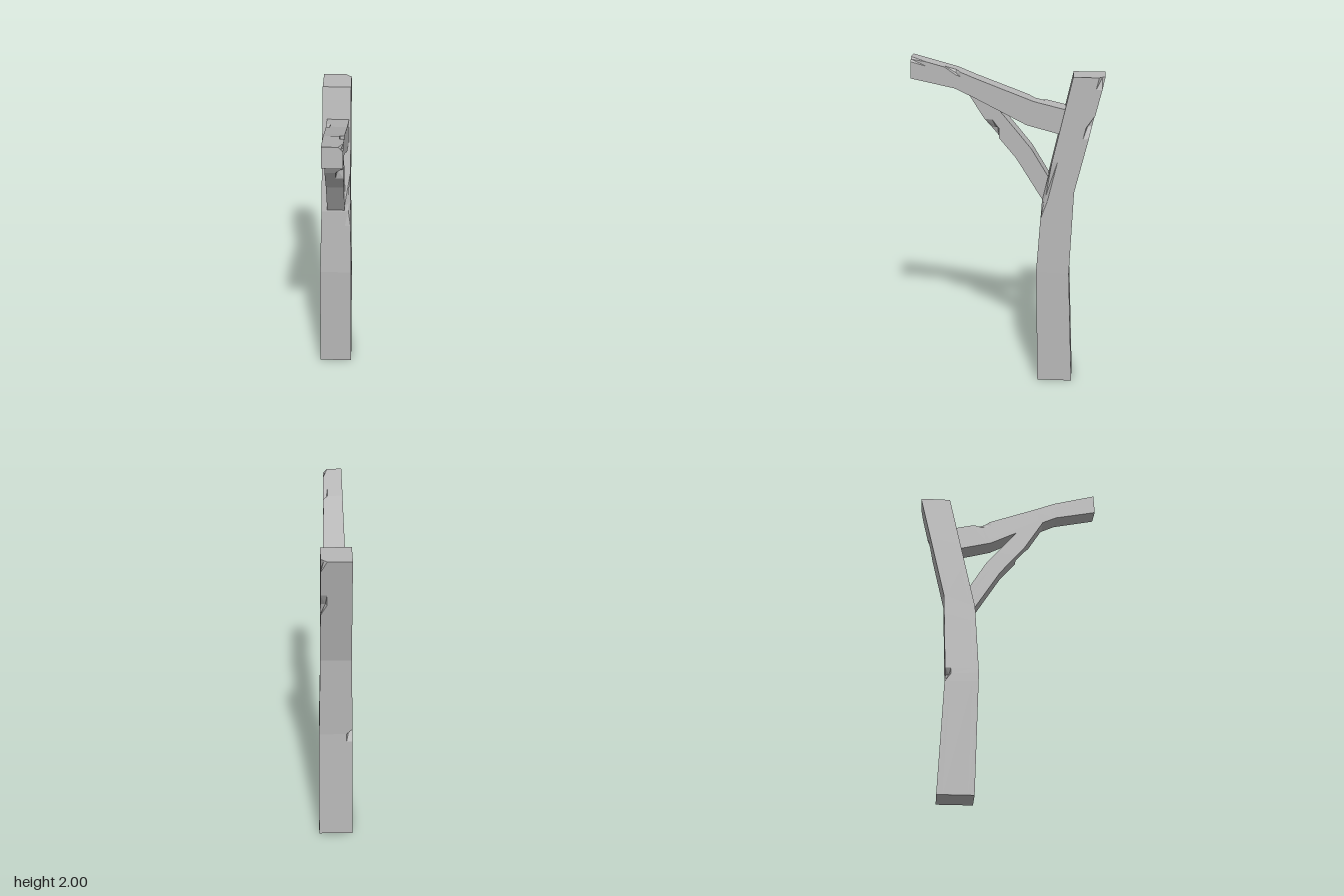
import * as THREE from 'three';

const wood = new THREE.MeshStandardMaterial({ color: 0xb8b8b8 });
wood.name = 'plain grey wood';

const lerp = THREE.MathUtils.lerp;

// Hewn timber: four-cornered sections lofted along its length, with chips cut from the edges.
// Section: [yA, zA, yB, zB, xMin, xMax], where A and B are opposite sides.
// Corners: 0 = A/xMin, 1 = A/xMax, 2 = B/xMax, 3 = B/xMin.
// Chip: t (position in sections), corner, half (half length in t), depth (1 = flat across).
function timber(name, sections, chips, inset) {
  const last = sections.length - 1;
  const stops = sections.map((_, i) => i);
  for (const { t, half } of chips) stops.push(t - half, t, t + half);
  const ts = [...new Set(stops.filter(t => t >= 0 && t <= last))].sort((a, b) => a - b);

  // Each corner is three points: one before it, the corner itself, and one after it
  const rings = ts.map(t => {
    const i = Math.min(Math.floor(t), last - 1);
    const [ya, za, yb, zb, x0, x1] = sections[i].map((v, k) => lerp(v, sections[i + 1][k], t - i));
    const corners = [[x0, ya, za], [x1, ya, za], [x1, yb, zb], [x0, yb, zb]]
      .map(p => new THREE.Vector3(...p));
    return corners.flatMap((c, k) => {
      const towards = n => c.clone().lerp(n, Math.min(0.45, inset / c.distanceTo(n)));
      const before = towards(corners[(k + 3) % 4]);
      const after = towards(corners[(k + 1) % 4]);
      const middle = before.clone().add(after).multiplyScalar(0.5);
      let pull = 0;
      for (const chip of chips) {
        if (chip.corner === k) {
          pull = Math.max(pull, chip.depth * (1 - Math.abs(t - chip.t) / chip.half));
        }
      }
      return [before, c.clone().lerp(middle, pull), after];
    });
  });

  const pos = [];
  const tri = (a, b, c) => pos.push(...a.toArray(), ...b.toArray(), ...c.toArray());
  for (let r = 0; r < rings.length - 1; r++) {
    for (let k = 0; k < 12; k++) {
      const n = (k + 1) % 12;
      const a = rings[r][k], b = rings[r][n], c = rings[r + 1][n], d = rings[r + 1][k];
      tri(a, b, c);
      tri(a, c, d);
    }
  }
  // End grain
  const start = rings[0], end = rings[rings.length - 1];
  const centre = ring => ring.reduce((s, p) => s.add(p), new THREE.Vector3()).divideScalar(12);
  const c0 = centre(start), c1 = centre(end);
  for (let k = 0; k < 12; k++) {
    const n = (k + 1) % 12;
    tri(c0, start[n], start[k]);
    tri(c1, end[k], end[n]);
  }

  const geometry = new THREE.BufferGeometry();
  geometry.setAttribute('position', new THREE.Float32BufferAttribute(pos, 3));
  geometry.computeVertexNormals(); // unshared corners keep the faces flat
  const mesh = new THREE.Mesh(geometry, wood);
  mesh.name = name;
  return mesh;
}

export function createModel() {
  const group = new THREE.Group();
  group.name = 'timberPost';

  // Upright, bending backwards towards the top (A = front, B = back)
  group.add(timber('post', [
    [0, -0.19, 0, -0.4, -0.105, 0.1],
    [0.73, -0.175, 0.72, -0.37, -0.1, 0.095],
    [1.16, -0.203, 1.23, -0.39, -0.09, 0.085],
    [1.905, -0.37, 1.905, -0.55, -0.085, 0.08],
  ], [
    { t: 1, corner: 3, half: 0.07, depth: 1.3 },
    { t: 2.05, corner: 1, half: 0.28, depth: 0.9 },
    { t: 2.58, corner: 2, half: 0.1, depth: 1.5 },
    { t: 3, corner: 2, half: 0.1, depth: 1 },
  ], 0.035));

  // Arm rising to the front (A = top, B = underside)
  group.add(timber('arm', [
    [2, 0.545, 1.88, 0.55, -0.05, 0.06],
    [1.93, 0.29, 1.827, 0.3, -0.052, 0.06],
    [1.885, 0.18, 1.775, 0.19, -0.053, 0.06],
    [1.76, -0.15, 1.622, -0.11, -0.057, 0.065],
    [1.708, -0.37, 1.555, -0.37, -0.06, 0.072],
  ], [
    { t: 0, corner: 1, half: 0.35, depth: 1 },
    { t: 1, corner: 1, half: 0.25, depth: 1.4 },
    { t: 3.1, corner: 0, half: 0.2, depth: 1.2 },
  ], 0.025));

  // Diagonal brace from post to arm (A = outer side, B = inner side)
  group.add(timber('brace', [
    [1.165, -0.208, 1.24, -0.28, -0.055, 0.05],
    [1.42, -0.05, 1.475, -0.14, -0.055, 0.05],
    [1.6, 0.1, 1.61, -0.03, -0.055, 0.05],
    [1.8, 0.225, 1.73, 0.07, -0.055, 0.05],
  ], [
    { t: 1.95, corner: 1, half: 0.3, depth: 1.5 },
  ], 0.045));

  return group;
}
